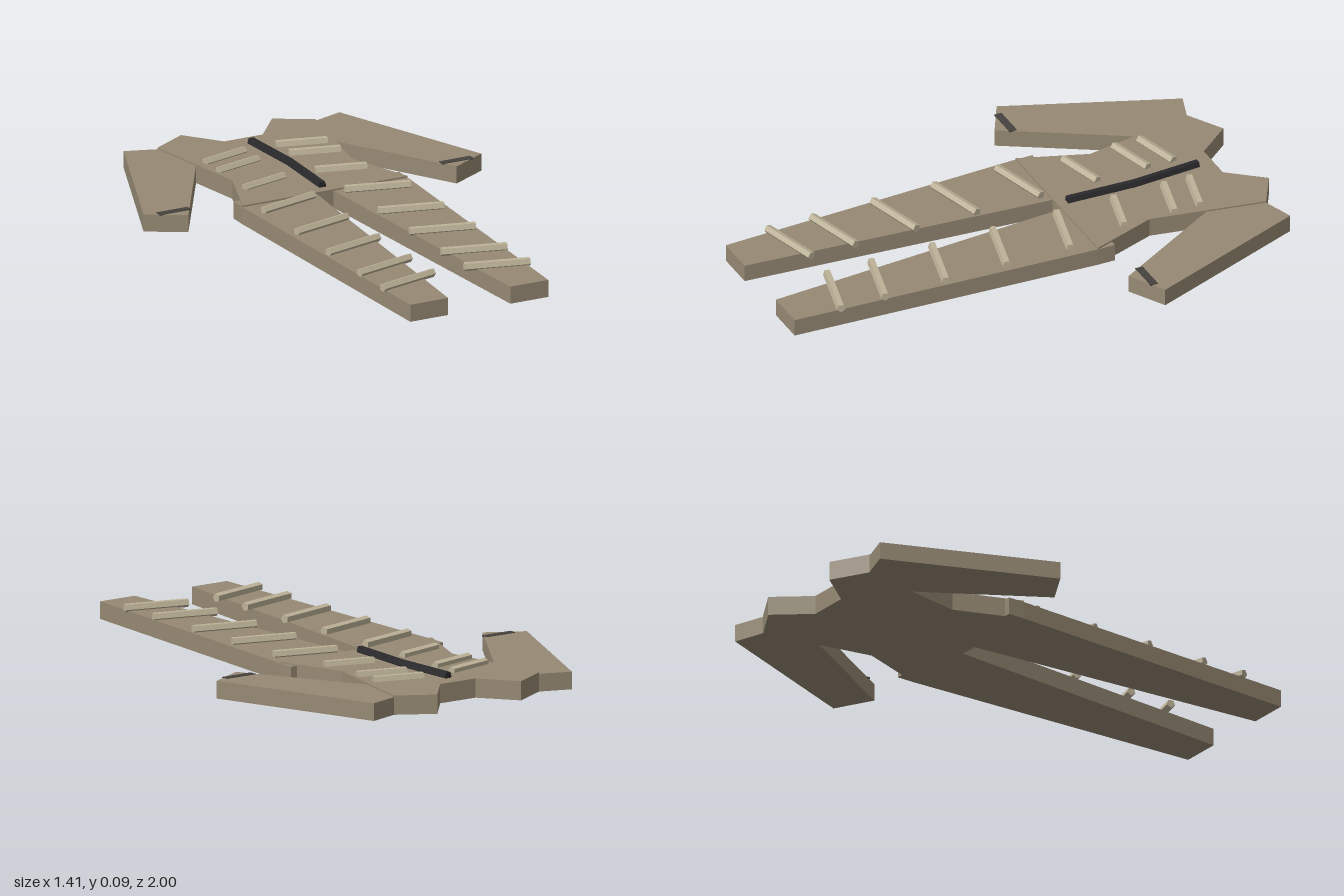
import * as THREE from 'three';

const mat = (name, color) => {
  const m = new THREE.MeshStandardMaterial({ color });
  m.name = name;
  return m;
};

export function createModel() {
  const suit = new THREE.Group();
  suit.name = 'jumpsuit';
  const fabric = mat('khaki fabric', 0x978a74);
  const piping = mat('light crease', 0xbdb298);
  const dark = mat('dark zip', 0x2a2a2d);
  const cuff = mat('dark cuff', 0x45423f);

  const add = (name, geometry, material) => {
    const mesh = new THREE.Mesh(geometry, material);
    mesh.name = name;
    suit.add(mesh);
    return mesh;
  };

  // Flat panel lying on the ground, cut from an outline of [x, z] points
  const panel = (name, outline, height) => {
    const shape = new THREE.Shape(outline.map(([x, z]) => new THREE.Vector2(x, -z)));
    const g = new THREE.ExtrudeGeometry(shape, { depth: height, bevelEnabled: false });
    add(name, g.rotateX(-Math.PI / 2), fabric);
  };

  // Torso: one half outline mirrored
  const half = [[0.08, -0.865], [0.19, -1], [0.33, -0.92], [0.29, -0.7], [0.25, -0.48], [0.345, -0.22]];
  const mirrored = half.map(([x, z]) => [-x, z]).reverse();
  panel('torso', [...half, ...mirrored], 0.073);

  for (const s of [1, -1]) {
    const side = s > 0 ? 'left' : 'right';
    const flip = (pts) => pts.map(([x, z]) => [s * x, z]);

    panel(side + 'Sleeve', flip([[0.33, -0.92], [0.45, -0.96], [0.705, -0.32], [0.56, -0.24], [0.285, -0.7]]), 0.067);
    panel(side + 'Leg', flip([[0.03, -0.29], [0.345, -0.29], [0.345, -0.22], [0.288, 1], [0.13, 1]]), 0.067);

    // Cuff band
    add(side + 'Cuff', new THREE.BoxGeometry(0.13, 0.004, 0.03), cuff).position.set(s * 0.59, 0.067, -0.3);

    // Slanted raised creases, five-sided rods
    const crease = (name, x, z, length) => {
      const g = new THREE.CylinderGeometry(0.017, 0.017, length, 5).toNonIndexed();
      g.computeVertexNormals();
      g.rotateZ(Math.PI / 2).rotateX(s > 0 ? Math.PI / 10 : 0).rotateY(-s * 0.25);
      add(name, g, piping).position.set(s * x, 0.078, z);
    };
    for (const z of [-0.71, -0.605, -0.398]) crease(side + 'TorsoCrease', 0.16, z, 0.195);
    for (const z of [-0.157, 0.105, 0.355, 0.605, 0.787]) crease(side + 'LegCrease', 0.186, z, 0.25);
  }

  // Front zip, a gently bent strip in two straight lengths
  const zipPoints = [[-0.002, -0.8], [0.018, -0.53], [0.009, -0.26]].map(([x, z]) => new THREE.Vector3(x, 0.081, z));
  for (let i = 0; i < 2; i++) {
    const [a, b] = [zipPoints[i], zipPoints[i + 1]];
    const g = new THREE.CylinderGeometry(0.017, 0.017, a.distanceTo(b) + 0.004, 5).toNonIndexed();
    g.computeVertexNormals();
    g.rotateX(Math.PI / 2).rotateY(Math.atan2(b.x - a.x, b.z - a.z));
    add('zip', g, dark).position.copy(a).add(b).multiplyScalar(0.5);
  }

  return suit;
}
